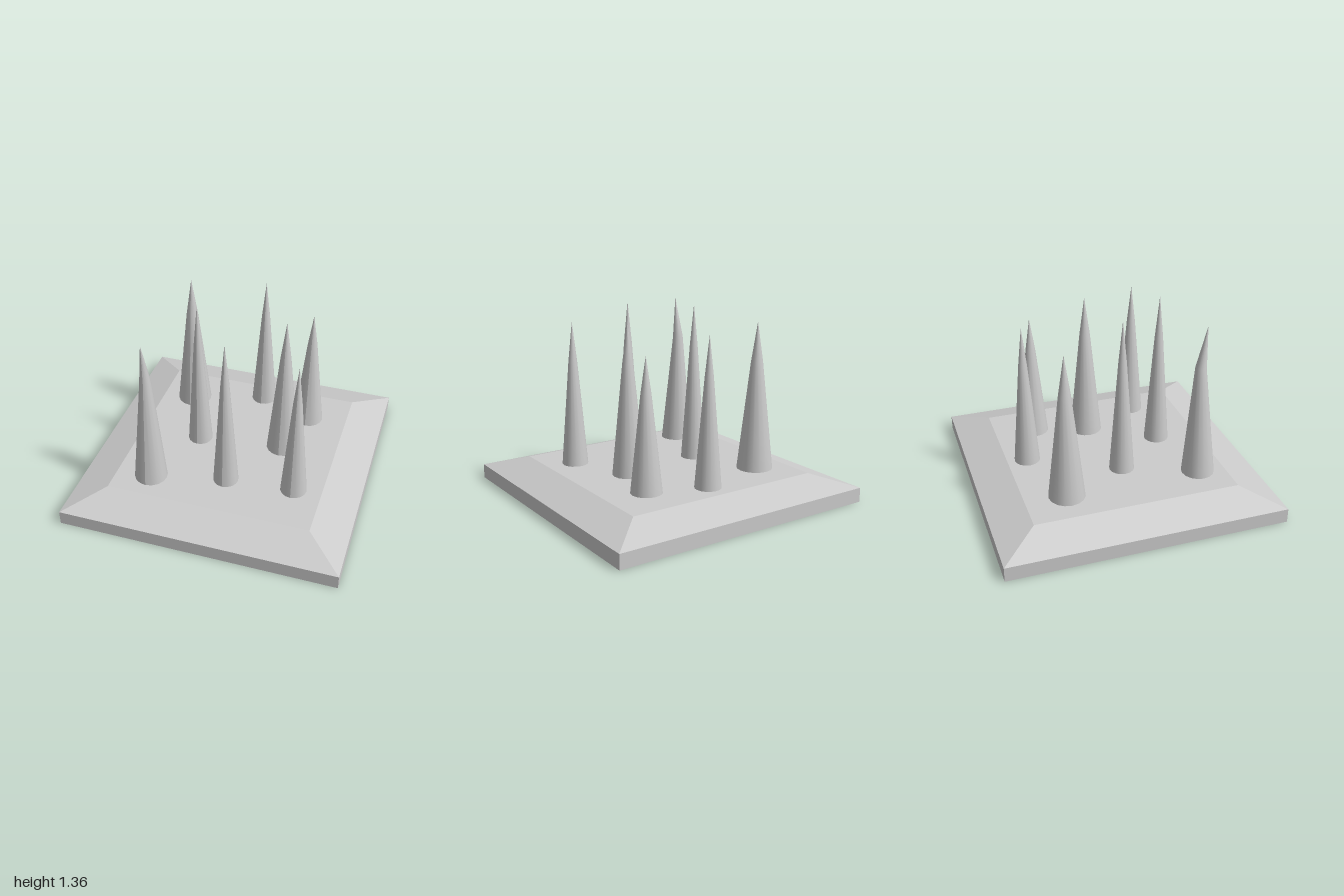
import * as THREE from 'three';

const V = (x, y) => new THREE.Vector2(x, y);
const BASE_Y = 0.2;

// x, z, base radius, tip height, shoulder shift in z, tip shift in z
const SPIKES = [
  [-0.49, -0.44, 0.13, 1.27, 0, 0],
  [0.045, -0.59, 0.094, 1.25, 0, 0],
  [0.445, -0.44, 0.111, 1.13, 0, 0],
  [-0.28, 0.03, 0.09, 1.355, 0, 0],
  [0.34, -0.05, 0.119, 1.29, 0, 0],
  [0.045, 0.42, 0.091, 1.355, 0, 0],
  [-0.482, 0.537, 0.118, 1.33, -0.017, 0.019],
  [0.535, 0.382, 0.095, 1.25, 0, 0],
];

// Slightly bulged cone with a shoulder ring below the tip
function spikeGeometry(radius, height, shoulderShift, tipShift) {
  const shoulder = height * 0.73;
  const profile = [V(0, 0), V(radius, 0), V(radius, 0), V(radius * 0.33, shoulder), V(0, height)];
  const geometry = new THREE.LatheGeometry(profile, 16);
  const pos = geometry.attributes.position;
  for (let i = 0; i < pos.count; i++) {
    const y = pos.getY(i);
    if (y > shoulder + 0.01) pos.setZ(i, pos.getZ(i) + tipShift);
    else if (y > 0.01) {
      // the bent spike's shoulder ring tilts toward its tip
      pos.setY(i, y + (pos.getZ(i) * shoulderShift) / 0.07);
      pos.setZ(i, pos.getZ(i) + shoulderShift);
    }
  }
  geometry.computeVertexNormals();
  return geometry;
}

export function createModel() {
  const model = new THREE.Group();
  model.name = 'spikeTrap';
  const smooth = new THREE.MeshStandardMaterial({ color: 0xcccccc });
  const flat = new THREE.MeshStandardMaterial({ color: 0xcccccc, flatShading: true });

  // Square plate with a bevelled top, turned from four sides
  const d = Math.SQRT2;
  const plate = new THREE.Mesh(
    new THREE.LatheGeometry([V(0, 0), V(d, 0), V(d, 0.105), V(0.737 * d, 0.192), V(0, 0.192)], 4, Math.PI / 4),
    flat
  );
  plate.name = 'basePlate';
  model.add(plate);

  // Spikes
  SPIKES.forEach(([x, z, radius, tipY, shoulderShift, tipShift], i) => {
    const spike = new THREE.Mesh(spikeGeometry(radius, tipY - BASE_Y, shoulderShift, tipShift), smooth);
    spike.name = `spike${i + 1}`;
    spike.position.set(x, BASE_Y, z);
    model.add(spike);
  });
  return model;
}
